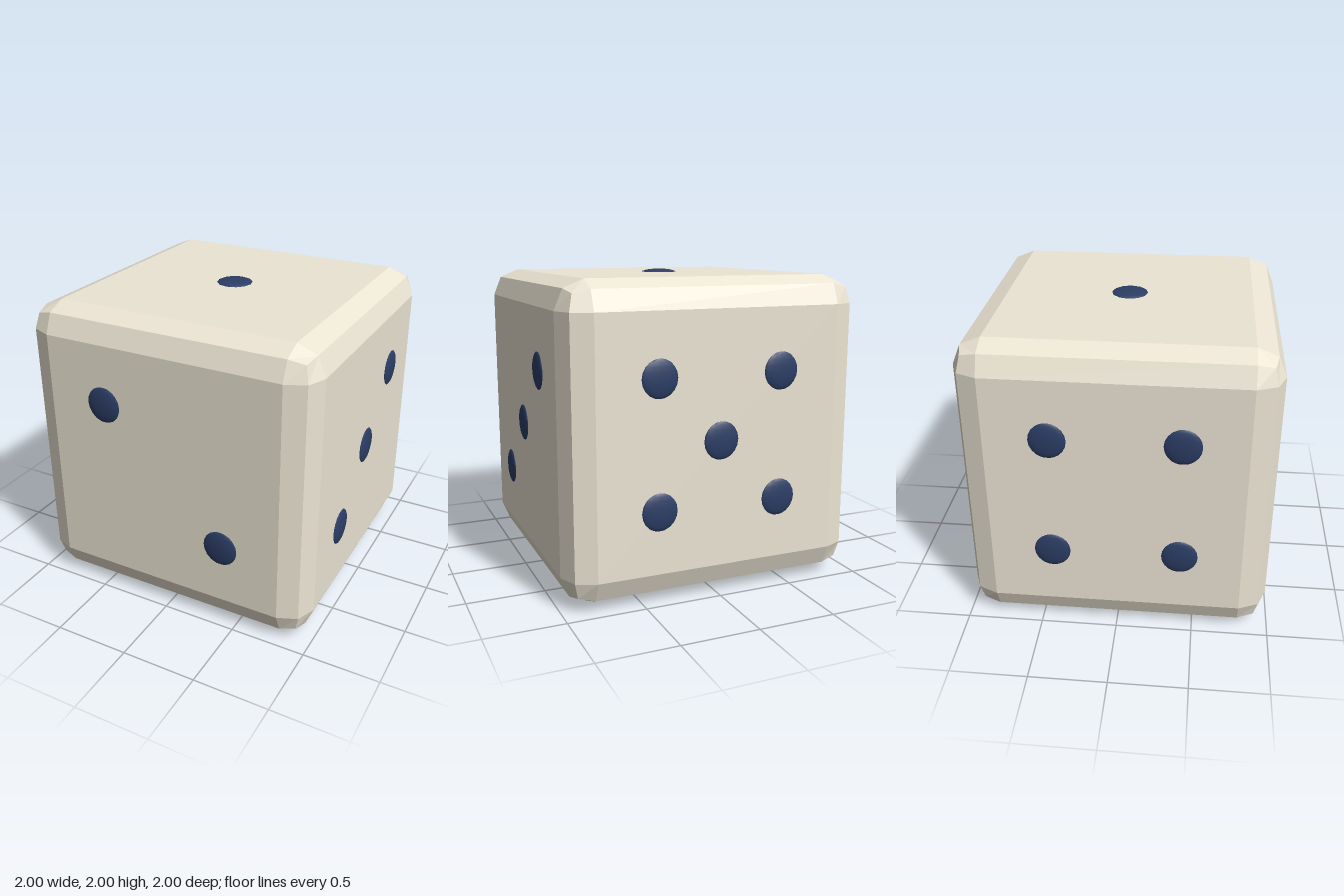
import * as THREE from 'three';
import { RoundedBoxGeometry } from 'three/addons/geometries/RoundedBoxGeometry.js';

const HALF = 0.98;      // half the body's width
const STEP = 0.405;     // pip spacing
const RADIUS = 0.122;   // pip radius
const DEPTH = 0.025;    // pip half thickness

// Pip layouts in grid steps, per face; u, v are the two axes left over, in x, y, z order
const diagonal = [[-1, 1], [1, -1]];
const corners = [[-1, -1], [-1, 1], [1, -1], [1, 1]];
const faces = [
  { name: 'topPip', axis: 1, sign: 1, pips: [[0, 0]] },
  { name: 'frontPip', axis: 2, sign: 1, pips: diagonal },
  { name: 'leftPip', axis: 0, sign: 1, pips: [...diagonal, [0, 0]] },
  { name: 'rightPip', axis: 0, sign: -1, pips: corners },
  { name: 'backPip', axis: 2, sign: -1, pips: [...corners, [0, 0]] },
  { name: 'bottomPip', axis: 1, sign: -1, pips: [...corners, [-1, 0], [1, 0]] },
];

export function createModel() {
  const die = new THREE.Group();
  die.name = 'die';

  // Body: cube with two flat bevel strips along each edge
  const body = new THREE.Mesh(
    new RoundedBoxGeometry(2 * HALF, 2 * HALF, 2 * HALF, 1, 0.18),
    new THREE.MeshStandardMaterial({ color: 0xece5d4, flatShading: true })
  );
  body.name = 'body';
  body.position.y = 1;
  die.add(body);

  // Pips: flattened spheres standing slightly proud of each face
  const pipGeometry = new THREE.SphereGeometry(1, 12, 10);
  const pipMaterial = new THREE.MeshStandardMaterial({ color: 0x2c3e66 });
  for (const { name, axis, sign, pips } of faces) {
    const [u, v] = [0, 1, 2].filter((a) => a !== axis);
    for (const [pu, pv] of pips) {
      // on the x faces u is y and v is z; on the y faces u is x and v is z
      const pip = new THREE.Mesh(pipGeometry, pipMaterial);
      pip.name = name;
      pip.position.setComponent(axis, sign * (1 - DEPTH));
      pip.position.setComponent(u, pu * STEP);
      pip.position.setComponent(v, pv * STEP);
      pip.position.y += 1;
      pip.scale.setScalar(RADIUS).setComponent(axis, DEPTH);
      die.add(pip);
    }
  }
  return die;
}
